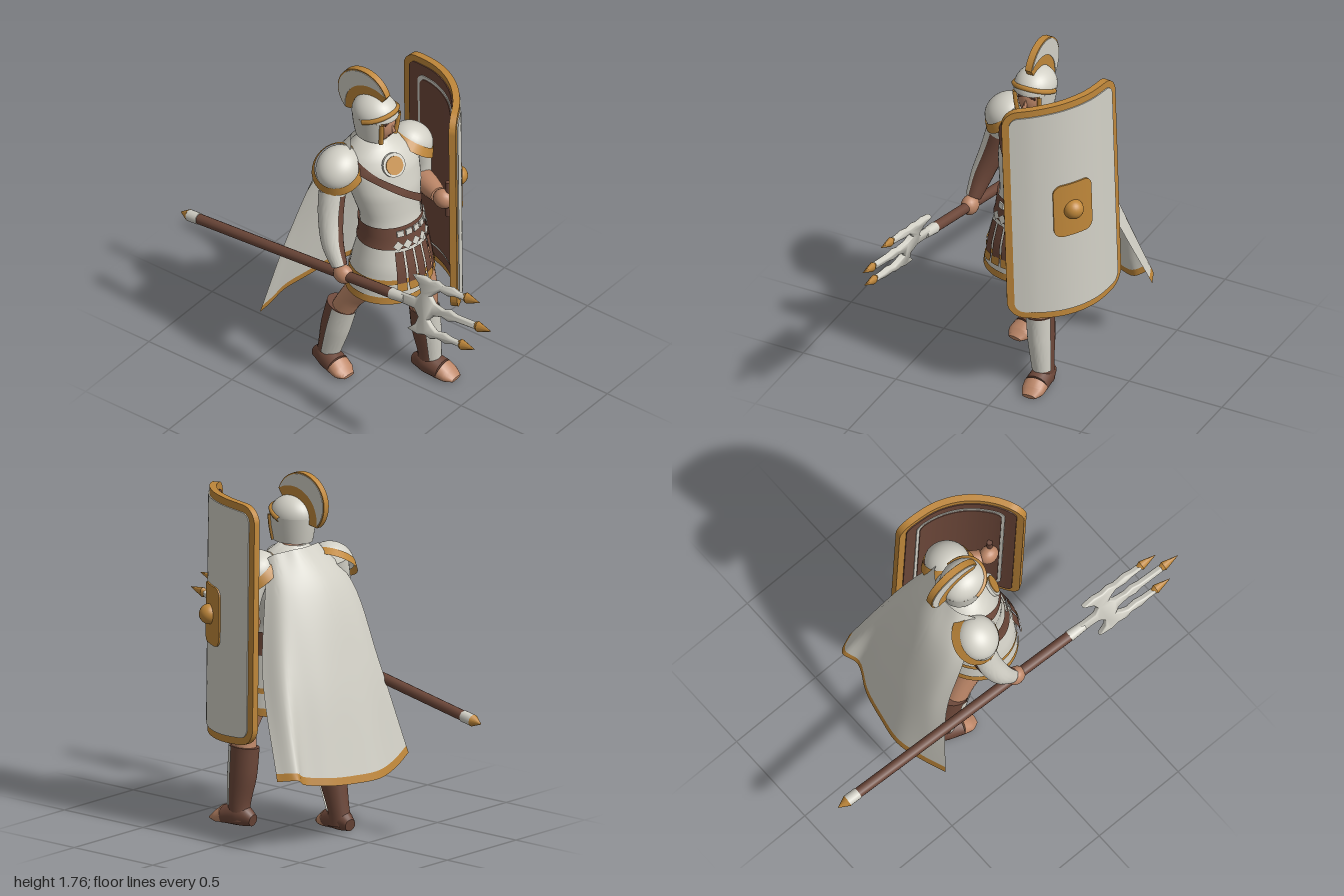
import * as THREE from 'three';
import { toCreasedNormals } from 'three/addons/utils/BufferGeometryUtils.js';

const V = (x, y, z) => new THREE.Vector3(x, y, z);
const mat = (name, color) => new THREE.MeshStandardMaterial({ name, color, side: THREE.DoubleSide });
const PI = Math.PI;

export function createModel() {
  const white = mat('white plate', 0xd2d0c6), gold = mat('gold', 0xbf873a), brown = mat('leather', 0x6c4739);
  const skin = mat('skin', 0xbd8768);
  const model = new THREE.Group();
  const add = (name, geo, m, parent = model) => {
    const mesh = new THREE.Mesh(geo, m);
    mesh.name = name;
    parent.add(mesh);
    return mesh;
  };

  // Skin a list of equal-length point rows; closed rows are capped and turned outward
  function loft(rows, closed = true, crease = 0.8) {
    const n = rows[0].length, idx = [], pts = rows.flat();
    for (let i = 0; i < rows.length - 1; i++)
      for (let j = 0; j < (closed ? n : n - 1); j++) {
        const a = i * n + j, b = i * n + (j + 1) % n;
        idx.push(a, a + n, b, b, a + n, b + n);
      }
    if (closed) {
      const last = (rows.length - 1) * n;
      for (let j = 1; j < n - 1; j++) idx.push(0, j, j + 1, last, last + j + 1, last + j);
      let vol = 0;
      for (let k = 0; k < idx.length; k += 3) vol += pts[idx[k]].dot(V(0, 0, 0).crossVectors(pts[idx[k + 1]], pts[idx[k + 2]]));
      if (vol < 0) idx.reverse();
    }
    const g = new THREE.BufferGeometry().setFromPoints(pts);
    g.setIndex(idx);
    return toCreasedNormals(g, crease);
  }

  // Tapered limb along points [x, y, z, ru, rv]; an arc makes an open shell
  function limb(pts, { arc = null, grow = 0, steps = 14, sides = 18 } = {}) {
    const path = new THREE.CatmullRomCurve3(pts.map(p => V(p[0], p[1], p[2])));
    const rad = new THREE.CatmullRomCurve3(pts.map(p => V(p[3], p[4] ?? p[3], 0)));
    const rows = [], [a0, a1] = arc || [0, 2 * PI];
    for (let i = 0; i <= steps; i++) {
      const c = path.getPoint(i / steps), T = path.getTangent(i / steps), r = rad.getPoint(i / steps);
      const u = V(1, 0, 0).addScaledVector(T, -T.x).normalize(), v = u.clone().cross(T), row = [];
      for (let j = 0; j < sides + (arc ? 1 : 0); j++) {
        const a = a0 + (a1 - a0) * j / sides;
        const p = c.clone().addScaledVector(u, (r.x + grow) * Math.cos(a)).addScaledVector(v, (r.y + grow) * Math.sin(a));
        p.y = Math.max(0, p.y);
        row.push(p);
      }
      rows.push(row);
    }
    return loft(rows, !arc);
  }

  // Body: twisted elliptical sections [y, cx, cz, rx, rz, twist]
  const body = [[0.575, -0.01, 0.07, 0.21, 0.2, 0.1], [0.75, -0.01, 0.08, 0.185, 0.18, 0.15], [0.9, 0, 0.08, 0.157, 0.14, 0.2],
    [1.0, 0, 0.07, 0.155, 0.13, 0.25], [1.15, 0, 0.04, 0.185, 0.15, 0.35], [1.27, 0, 0.015, 0.195, 0.143, 0.4],
    [1.34, 0, -0.005, 0.16, 0.125, 0.4], [1.4, -0.005, -0.01, 0.072, 0.07, 0.2]];
  function bodyPt(y, a, grow = 0) {
    let i = 0;
    while (i < body.length - 2 && y > body[i + 1][0]) i++;
    const t = (y - body[i][0]) / (body[i + 1][0] - body[i][0]);
    const [, cx, cz, rx, rz, w] = body[i].map((q, k) => q + (body[i + 1][k] - q) * t);
    const c = (rx + grow) * Math.cos(a), s = (rz + grow) * Math.sin(a);
    return V(cx + c * Math.cos(w) - s * Math.sin(w), y, cz + c * Math.sin(w) + s * Math.cos(w));
  }
  const bodyRows = [];
  for (let i = 0; i <= 32; i++) bodyRows.push(Array.from({ length: 36 }, (_, j) => bodyPt(0.575 + 0.825 * i / 32, j / 36 * 2 * PI)));
  add('cuirass and tunic', loft(bodyRows), white);
  // Strip lying on the body, yFn gives its middle height
  function band(name, a0, a1, yFn, h, grow, m) {
    const n = Math.max(2, Math.ceil(Math.abs(a1 - a0) * 6)), rows = [];
    for (let k = 0; k < 5; k++) rows.push(Array.from({ length: n + 1 }, (_, j) => {
      const a = a0 + (a1 - a0) * j / n;
      return bodyPt(yFn(a) + h * (k / 4 - 0.5), a, grow);
    }));
    add(name, loft(rows, false), m);
  }
  // Flat plate tangent to the body
  function plate(name, geo, y, a, off, m) {
    const p = bodyPt(y, a, off), up = bodyPt(y + 0.02, a, off).sub(p), side = bodyPt(y, a - 0.05, off).sub(p);
    const mesh = add(name, geo, m);
    mesh.position.copy(p);
    mesh.lookAt(p.clone().add(side.cross(up).normalize()));
  }
  band('tunic hem', 0, 2 * PI, () => 0.594, 0.038, 0.006, gold);
  band('tunic stripe', 0, 2 * PI, () => 0.695, 0.026, 0.006, gold);
  band('belt', 0, 2 * PI, () => 0.922, 0.115, 0.01, brown);
  band('chest strap', 0.1, PI * 0.95, a => 1.17 - 0.16 * Math.cos(a), 0.05, 0.008, brown);
  for (let i = 0; i < 7; i++) {
    const a = 2.05 - i * 0.28;
    band('skirt strap', a - 0.115, a + 0.115, () => 0.765, 0.19, 0.022, brown);
    band('skirt strap tip', a - 0.115, a + 0.115, () => 0.678, 0.045, 0.027, gold);
    plate('belt diamond', new THREE.CircleGeometry(0.027, 4), 0.888, a, 0.02, white);
    plate('belt plate', new THREE.BoxGeometry(0.036, 0.03, 0.008), 0.945, a - 0.14, 0.013, white);
  }
  plate('medallion backing', new THREE.CylinderGeometry(0.06, 0.06, 0.016, 24).rotateX(PI / 2), 1.312, PI / 2, 0.012, white);
  plate('medallion', new THREE.CylinderGeometry(0.046, 0.046, 0.016, 24).rotateX(PI / 2), 1.312, PI / 2, 0.017, gold);

  // Legs, boots and greaves: boots run from the foot up
  function leg(side, boot, thigh, foot, facing) {
    add(side + 'Thigh', limb(thigh), skin);
    add(side + 'Boot', limb(boot), brown);
    add(side + 'Greave', limb(boot.slice(1), { arc: [facing - 1.1, facing + 1.1], grow: 0.005 }), white);
    add(side + 'Foot', limb(foot.slice(0, 3)), brown);
    add(side + 'Toes', limb(foot.slice(2)), skin);
  }
  leg('right', [[-0.11, 0.02, -0.22, 0.05, 0.065], [-0.107, 0.09, -0.215, 0.05, 0.056], [-0.108, 0.25, -0.175, 0.06, 0.074], [-0.105, 0.385, -0.14, 0.063, 0.077]],
    [[-0.105, 0.34, -0.145, 0.057], [-0.1, 0.45, -0.085, 0.06], [-0.09, 0.56, -0.01, 0.076], [-0.08, 0.68, 0.05, 0.095]],
    [[-0.1, 0.03, -0.295, 0.03, 0.03], [-0.115, 0.045, -0.22, 0.055, 0.06], [-0.135, 0.035, -0.14, 0.062, 0.05], [-0.145, 0.022, -0.1, 0.06, 0.035], [-0.15, 0.012, -0.062, 0.035, 0.012]], PI / 2 + 0.6);
  leg('left', [[0.142, 0.02, 0.195, 0.05, 0.065], [0.142, 0.09, 0.2, 0.05, 0.058], [0.128, 0.25, 0.19, 0.062, 0.075], [0.12, 0.385, 0.185, 0.066, 0.077]],
    [[0.118, 0.34, 0.185, 0.06], [0.115, 0.45, 0.195, 0.062], [0.105, 0.56, 0.175, 0.078], [0.09, 0.68, 0.13, 0.095]],
    [[0.138, 0.03, 0.115, 0.03, 0.03], [0.14, 0.045, 0.19, 0.055, 0.06], [0.142, 0.035, 0.28, 0.06, 0.05], [0.144, 0.022, 0.32, 0.056, 0.035], [0.145, 0.012, 0.36, 0.035, 0.012]], PI / 2 - 0.1);

  // Arms
  const rightArm = [[-0.328, 0.82, 0.02, 0.036], [-0.31, 0.92, -0.035, 0.052], [-0.272, 1.05, -0.075, 0.06], [-0.24, 1.17, -0.09, 0.064]];
  add('rightArm', limb(rightArm), brown);
  add('rightArmGuard', limb(rightArm, { arc: [PI - 1.25, PI + 1.1], grow: 0.005 }), white);
  add('rightSleeve', limb([[-0.24, 1.16, -0.09, 0.067], [-0.22, 1.22, -0.09, 0.076], [-0.2, 1.3, -0.09, 0.08]]), white);
  add('leftSleeve', limb([[0.25, 1.04, 0.06, 0.055], [0.24, 1.15, 0.06, 0.064], [0.19, 1.29, 0.06, 0.08]]), white);
  add('leftForearm', limb([[0.25, 1.04, 0.04, 0.058], [0.2, 1.05, 0.15, 0.055], [0.15, 1.06, 0.25, 0.04]]), skin);
  for (const [name, p] of [['rightHand', [-0.335, 0.785, 0.045]], ['leftHand', [0.14, 1.06, 0.285]]])
    add(name, new THREE.SphereGeometry(1, 16, 12).scale(0.043, 0.05, 0.052), skin).position.set(...p);

  // Shoulder guards: shallow domes with flared gold rims, local y is the dome axis
  for (const [side, p, axis] of [['right', [-0.205, 1.285, -0.085], V(-0.55, 0.8, 0.22)], ['left', [0.185, 1.285, 0.06], V(0.55, 0.8, 0.2)]]) {
    const guard = new THREE.Group();
    guard.name = side + 'ShoulderGuard';
    guard.position.set(...p);
    guard.quaternion.setFromUnitVectors(V(0, 1, 0), axis.normalize());
    add('dome', new THREE.SphereGeometry(0.115, 28, 12, 0, 2 * PI, 0, PI / 2).scale(1, 0.8, 0.92), white, guard);
    add('rim', new THREE.CylinderGeometry(0.116, 0.138, 0.044, 28, 1, true).scale(1, 1, 0.94), gold, guard);
    model.add(guard);
  }

  // Head and helmet
  const head = new THREE.Group();
  head.name = 'head';
  head.position.set(-0.01, 0, -0.01);
  model.add(head);
  add('neck', limb([[0.005, 1.33, -0.02, 0.07], [0, 1.4, 0, 0.055], [0, 1.47, 0, 0.055]]), skin, head);
  add('face', new THREE.SphereGeometry(1, 24, 18).scale(0.08, 0.11, 0.1), skin, head).position.set(0, 1.495, 0.005);
  add('nose', new THREE.ConeGeometry(0.014, 0.05, 4).rotateX(-0.3), skin, head).position.set(0, 1.495, 0.106);
  for (const s of [-1, 1]) add('eye', new THREE.BoxGeometry(0.028, 0.009, 0.008), brown, head).position.set(s * 0.032, 1.522, 0.094);
  add('mouth', new THREE.BoxGeometry(0.035, 0.007, 0.008), brown, head).position.set(0, 1.446, 0.092);
  const oval = (y, rx, rz, a) => V(rx * Math.cos(a), y, rz * Math.sin(a));
  const wall = [[1.415, 0.085, 0.102], [1.48, 0.096, 0.114], [1.54, 0.102, 0.12]], open = 0.72;
  add('helmet dome', new THREE.SphereGeometry(1, 28, 12, 0, 2 * PI, 0, PI / 2).scale(0.102, 0.1, 0.12), white, head).position.y = 1.54;
  add('helmet sides', loft(wall.map(w => Array.from({ length: 29 }, (_, j) => oval(...w, PI / 2 + open + (2 * PI - 2 * open) * j / 28))), false), white, head);
  const tube = (name, pts, r) => add(name, new THREE.TubeGeometry(new THREE.CatmullRomCurve3(pts), 32, r, 6), gold, head);
  for (const s of [-1, 1]) tube('cheek edge', wall.map(w => oval(...w, PI / 2 + s * open)), 0.012);
  tube('brow band', Array.from({ length: 9 }, (_, j) => {
    const dy = 0.045 * Math.sin(PI * j / 8), k = Math.sqrt(1 - (dy / 0.1) ** 2);
    return oval(1.535 + dy, 0.102 * k, 0.12 * k, PI * j / 8);
  }), 0.013);
  // Crest: fan around the dome, gold core with pale cheeks
  function crest(name, inner, trim, w, m) {
    const at = (t, r) => [-0.01 + r * Math.cos(0.98 + 2.34 * t), 1.53 + r * Math.sin(0.98 + 2.34 * t)];
    const s = new THREE.Shape(), t0 = trim * 4;
    for (let i = 0; i <= 24; i++) {
      const t = t0 + (1 - 2 * t0) * i / 24;
      s.lineTo(...at(t, 0.158 + 0.088 * Math.sin(PI * t) - trim));
    }
    for (let i = 24; i >= 0; i--) s.lineTo(...at(t0 + (1 - 2 * t0) * i / 24, inner));
    s.curves.shift();
    add(name, toCreasedNormals(new THREE.ExtrudeGeometry(s, { depth: w, bevelEnabled: false }).translate(0, 0, -w / 2).rotateY(-PI / 2), 0.6), m, head);
  }
  crest('crest trim', 0.1, 0, 0.034, gold);
  crest('crest plume', 0.157, 0.007, 0.04, white);

  // Cape: four control rows from shoulders to hem
  const capeRows = [
    [[-0.15, 1.38, -0.05], [-0.08, 1.4, -0.1], [0, 1.4, -0.11], [0.04, 1.4, -0.11], [0.08, 1.4, -0.1], [0.12, 1.39, -0.07], [0.16, 1.38, -0.04], [0.18, 1.36, -0.01]],
    [[-0.23, 1.2, -0.19], [-0.16, 1.2, -0.225], [-0.06, 1.2, -0.24], [0.02, 1.2, -0.235], [0.1, 1.2, -0.21], [0.17, 1.2, -0.17], [0.22, 1.2, -0.12], [0.24, 1.2, -0.05]],
    [[-0.265, 0.83, -0.33], [-0.18, 0.82, -0.36], [-0.08, 0.8, -0.37], [0.04, 0.8, -0.36], [0.15, 0.8, -0.335], [0.25, 0.82, -0.28], [0.32, 0.83, -0.24], [0.35, 0.83, -0.13]],
    [[-0.37, 0.36, -0.43], [-0.24, 0.32, -0.465], [-0.09, 0.3, -0.495], [0.05, 0.3, -0.475], [0.2, 0.31, -0.44], [0.33, 0.33, -0.38], [0.41, 0.37, -0.41], [0.46, 0.36, -0.32]]
  ].map(r => new THREE.CatmullRomCurve3(r.map(p => V(...p))).getPoints(42));
  const columns = capeRows[0].map((_, j) => new THREE.CatmullRomCurve3(capeRows.map(r => r[j])));
  const span = (t0, t1, n) => Array.from({ length: n + 1 }, (_, i) => columns.map(c => c.getPoint(t0 + (t1 - t0) * i / n)));
  add('cape', loft(span(0, 0.975, 20), false, 1), white);
  add('cape hem', loft(span(0.975, 1, 1), false, 1), gold);

  // Shield: slabs bent along a plan curve, s is distance along it
  const plan = new THREE.CatmullRomCurve3([V(0.05, 0, 0.433), V(0.185, 0, 0.357), V(0.292, 0, 0.25), V(0.36, 0, 0.11), V(0.387, 0, -0.105)]);
  const len = plan.getLength();
  const shieldPt = (s, y, off) => {
    const p = plan.getPointAt(s / len), T = plan.getTangentAt(s / len), k = (y - 1.07) / 1.2;
    return V(p.x - T.z * off - 0.03 * k, y, p.z + T.x * off + 0.012 * k);
  };
  // bow lowers the top and raises the bottom toward both ends
  function slab(name, s0, s1, y0, y1, r, in0, out, m, bow = 0) {
    const rows = [];
    for (let i = 0; i <= 60; i++) {
      const s = s0 + (s1 - s0) * (1 - Math.cos(PI * i / 60)) / 2, d = Math.max(0, r - Math.min(s - s0, s1 - s));
      const c = r - Math.sqrt(Math.max(0, r * r - d * d)) + bow * (2 * s / len - 1) ** 2, top = y1 - c - bow * 0.5 * (1 - s / len);
      rows.push([shieldPt(s, top, out), shieldPt(s, y0 + c, out), shieldPt(s, y0 + c, in0), shieldPt(s, top, in0)]);
    }
    add(name, loft(rows, true, 0.6), m);
  }
  const inset = (name, d, a, b, m) => slab(name, d, len - d, 0.468 + d, 1.675 - d, Math.max(0.04, 0.08 - d), a, b, m, 0.02);
  inset('shield rim', 0, -0.034, 0, gold);
  inset('shield face', 0.036, -0.01, 0.006, white);
  inset('shield lining', 0.036, -0.039, -0.03, brown);
  inset('lining stripe', 0.095, -0.043, -0.03, white);
  inset('lining centre', 0.112, -0.047, -0.03, brown);
  slab('shield emblem', 0.235, 0.445, 0.925, 1.215, 0.045, -0.005, 0.014, gold);
  add('shield boss', new THREE.SphereGeometry(0.05, 24, 16), gold).position.copy(shieldPt(0.335, 1.07, 0.015));
  add('shield grip', new THREE.CylinderGeometry(0.014, 0.014, 0.2, 10), brown).position.set(0.155, 1.06, 0.305);

  // Trident: local z runs from butt to point, local y across the prongs
  const trident = new THREE.Group();
  trident.name = 'trident';
  const butt = V(-0.245, 0.625, -1), axis = V(-0.42, 0.925, 1).sub(butt), L = axis.length();
  axis.normalize();
  const across = V(0.1, 0.31, 0).addScaledVector(axis, -V(0.1, 0.31, 0).dot(axis)).normalize();
  trident.quaternion.setFromRotationMatrix(new THREE.Matrix4().makeBasis(across.clone().cross(axis), across, axis));
  trident.position.copy(butt);
  model.add(trident);
  const rod = (name, z0, z1, r0, r1, m, sides = 14, y = 0, flat = 1) =>
    add(name, new THREE.CylinderGeometry(r1, r0, z1 - z0, sides).rotateX(PI / 2).scale(flat, 1, 1), m, trident).position.set(0, y, (z0 + z1) / 2);
  rod('butt spike', 0, 0.055, 0.002, 0.03, gold);
  rod('butt collar', 0.055, 0.12, 0.029, 0.029, white);
  rod('shaft', 0.12, 1.38, 0.026, 0.026, brown);
  rod('head collar', 1.38, 1.47, 0.029, 0.024, white);
  const half = [[1.43, 0.022], [1.54, 0.026], [1.57, 0.06], [1.555, 0.1], [1.51, 0.135], [1.575, 0.146], [1.62, 0.136], [1.66, 0.146], [1.7, 0.132],
    [1.76, 0.142], [1.8, 0.13], [1.85, 0.13], [1.85, 0.106], [1.78, 0.104], [1.74, 0.094], [1.69, 0.102], [1.66, 0.085], [1.63, 0.06], [1.66, 0.03],
    [1.72, 0.018], [1.76, 0.028], [1.8, 0.016], [1.93, 0.014]];
  const outline = [...half, ...half.map(([x, y]) => [x, -y]).reverse()].map(p => new THREE.Vector2(...p));
  // Bevels round the blades into a lens section
  add('prongs', toCreasedNormals(new THREE.ExtrudeGeometry(new THREE.Shape(outline),
    { depth: 0.004, bevelThickness: 0.014, bevelSize: 0.01, bevelOffset: -0.008, bevelSegments: 3 })
    .translate(0, 0, -0.002).rotateY(-PI / 2), 1.0), white, trident);
  for (const [y, z] of [[0, L - 0.11], [0.118, 1.83], [-0.118, 1.83]]) {
    rod('prong tip base', z, z + 0.025, 0.014, 0.028, gold, 8, y, 0.7);
    rod('prong tip', z + 0.025, z + 0.11, 0.028, 0.001, gold, 8, y, 0.7);
  }
  return model;
}
